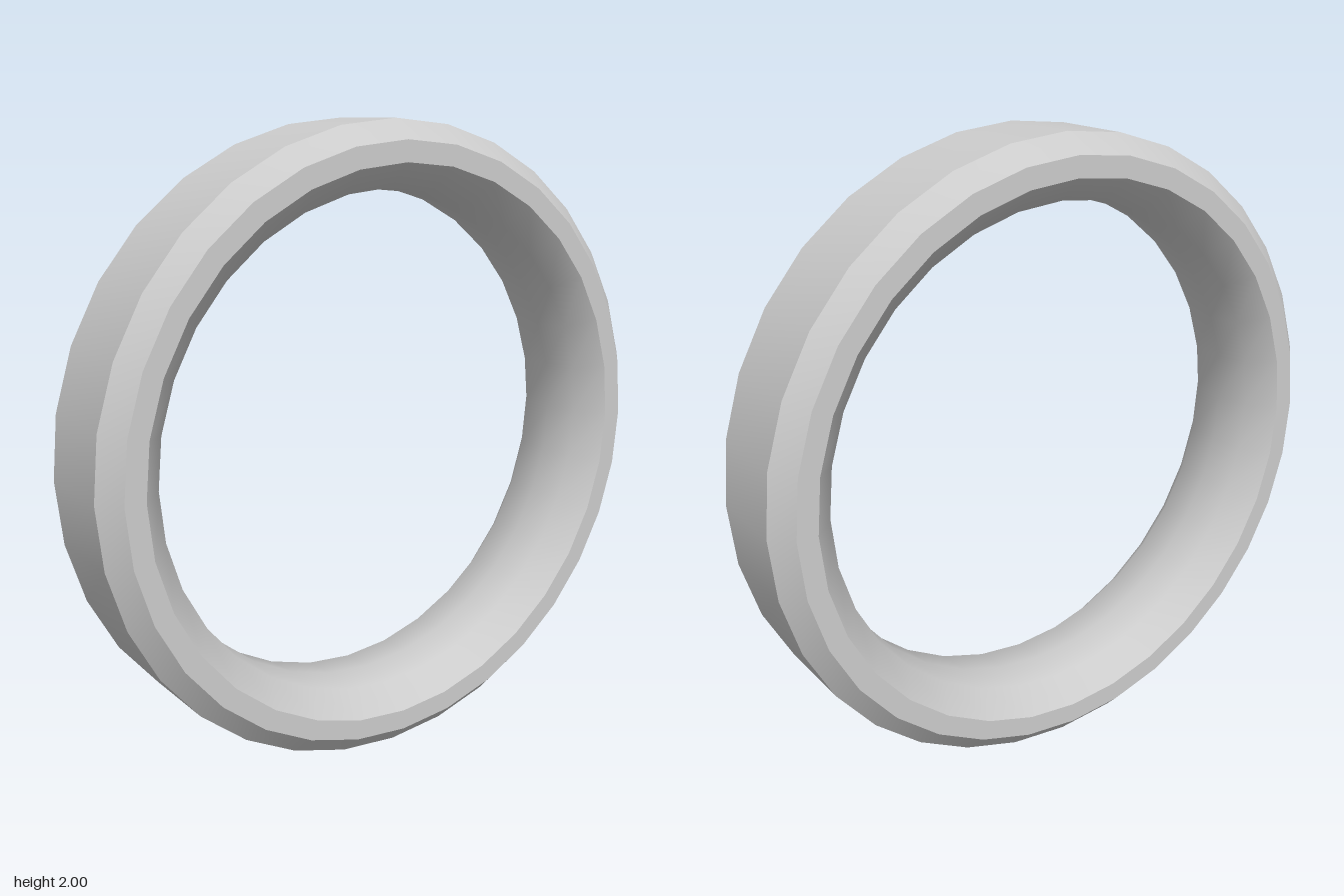
import * as THREE from 'three';
import { toCreasedNormals } from 'three/addons/utils/BufferGeometryUtils.js';

export function createModel() {
  const group = new THREE.Group();
  group.name = 'ring';

  // Half cross-section [radius, depth], from the inner crown to the outer wall
  const half = [
    [0.79, 0], [0.8, 0.12], [0.875, 0.2], [0.94, 0.2], [1, 0.14],
  ];
  // Outer wall upward, over the top rim, down the inside, back under the bottom rim
  const top = half.slice().reverse();
  const bottom = half.slice(1).map(([r, d]) => [r, -d]);
  const loop = [...top, ...bottom, top[0]];
  const profile = loop.map(([r, d]) => new THREE.Vector2(r, d));

  // Chamfered band, turned so that its axis points forward
  const geometry = toCreasedNormals(new THREE.LatheGeometry(profile, 32), 0.7);
  geometry.rotateX(Math.PI / 2);
  geometry.translate(0, 1, 0);

  const band = new THREE.Mesh(geometry, new THREE.MeshStandardMaterial({ color: 0xcccccc }));
  band.name = 'band';
  group.add(band);
  return group;
}
